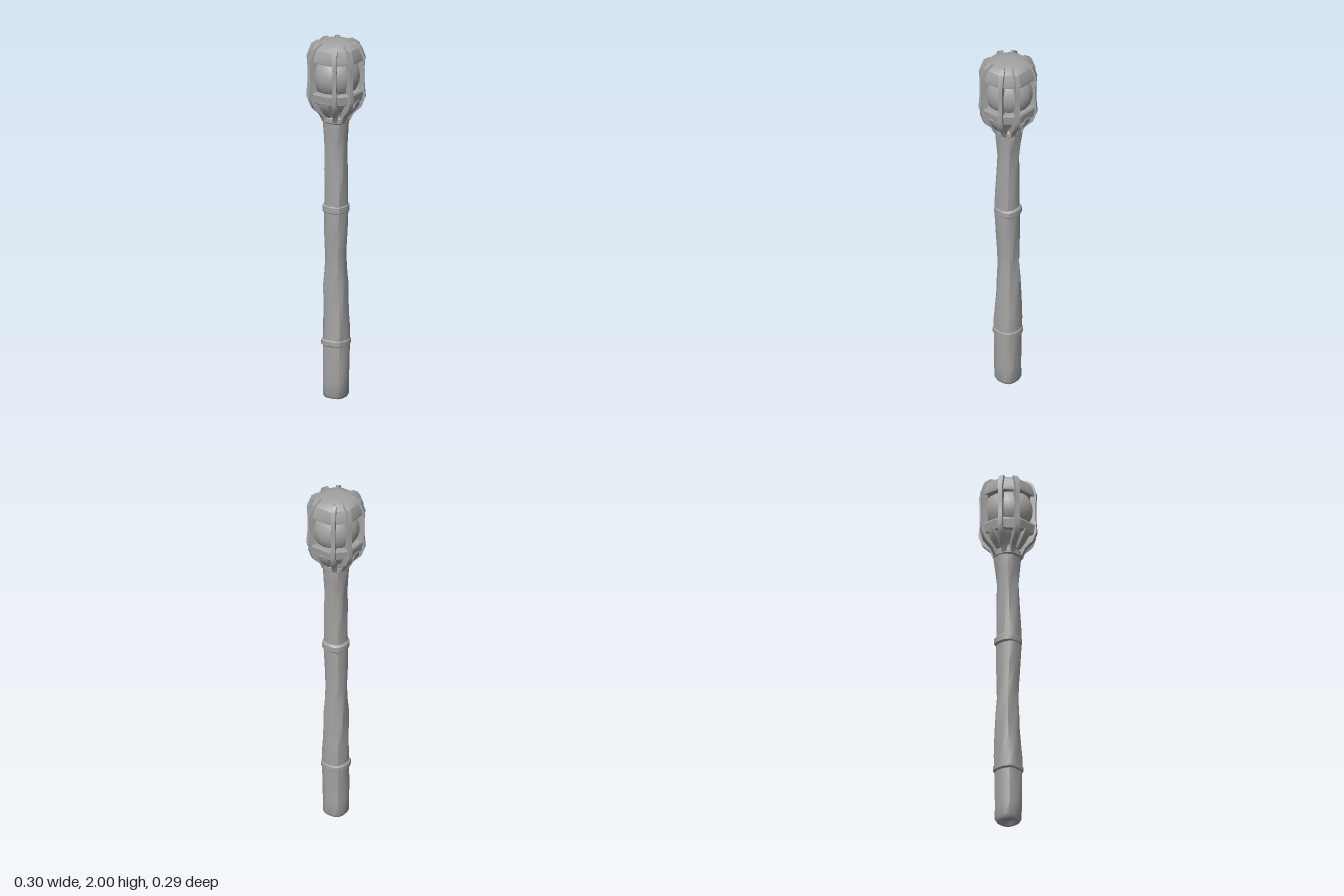
import * as THREE from 'three';
import { toCreasedNormals } from 'three/addons/utils/BufferGeometryUtils.js';

// Skin a list of equal-length point rings, closing both ends
function loft(rings, crease = 0.6) {
  const n = rings[0].length, last = rings.length - 1, pos = [], idx = [];
  for (const ring of rings) for (const p of ring) pos.push(...p);
  for (let i = 0; i < last; i++) for (let j = 0; j < n; j++) {
    const a = i * n + j, b = i * n + (j + 1) % n;
    idx.push(a, a + n, b, b, a + n, b + n);
  }
  for (const [row, up] of [[0, false], [last, true]]) {
    const c = pos.length / 3;
    for (let k = 0; k < 3; k++) pos.push(rings[row].reduce((s, p) => s + p[k], 0) / n);
    for (let j = 0; j < n; j++) {
      const a = row * n + j, b = row * n + (j + 1) % n;
      idx.push(c, up ? b : a, up ? a : b);
    }
  }
  const g = new THREE.BufferGeometry();
  g.setAttribute('position', new THREE.Float32BufferAttribute(pos, 3));
  g.setIndex(idx);
  return toCreasedNormals(g, crease);
}

// Rounded-square ring; w is the half-width, p the squareness, rough adds carved unevenness
function ring(y, w, { sides = 16, p = 2.9, rough = 0, cx = 0, cz = 0, turn = 0 } = {}) {
  return Array.from({ length: sides }, (_, j) => {
    const a = (j / sides) * Math.PI * 2 + turn;
    const c = Math.cos(a), s = Math.sin(a);
    const wave = Math.sin(j * 2.4 + y * 9) + Math.sin(j * 4.1 - y * 17);
    const r = w / (Math.abs(c) ** p + Math.abs(s) ** p) ** (1 / p) + rough * wave;
    return [cx + r * c, y, cz + r * s];
  });
}

// Octagonal ring with flats facing the four axes; w is the distance to a flat
const octagon = (y, w) => ring(y, w / Math.cos(Math.PI / 8), { sides: 8, p: 2, turn: Math.PI / 8 });

// Rectangular bar swept along a [radius, y, width, depth] path at one angle
function bar(path, angle) {
  const c = Math.cos(angle), s = Math.sin(angle);
  return loft(path.map(([r, y, w, d], i) => {
    const a = path[Math.max(i - 1, 0)], b = path[Math.min(i + 1, path.length - 1)];
    const dr = b[0] - a[0], dy = b[1] - a[1], len = Math.hypot(dr, dy);
    return [[1, -0.8], [1, 0.8], [-1, 1], [-1, -1]].map(([u, v]) => {
      const rr = r + (u * d * dy) / len / 2, yy = y - (u * d * dr) / len / 2, t = (v * w) / 2;
      return [rr * c - t * s, yy, rr * s + t * c];
    });
  }), 0.5);
}

export function createModel() {
  const model = new THREE.Group();
  const grey = new THREE.MeshStandardMaterial({ color: 0xa3a3a3 });
  grey.name = 'grey';
  const add = (name, geometry, parent = model) => {
    const mesh = new THREE.Mesh(geometry, grey);
    mesh.name = name;
    parent.add(mesh);
    return mesh;
  };

  // Carved shaft, with a shallow hollow in its foot
  const shaft = [
    [0.02, 0.034], [0, 0.046], [0, 0.056], [0.015, 0.064], [0.1, 0.065], [0.2, 0.066],
    [0.29, 0.066], [0.38, 0.067], [0.45, 0.064], [0.55, 0.061], [0.64, 0.059], [0.72, 0.053],
    [0.8, 0.053], [0.92, 0.058], [1.03, 0.06], [1.15, 0.058], [1.28, 0.057], [1.4, 0.054],
    [1.47, 0.059], [1.54, 0.065], [1.6, 0.066],
  ];
  add('shaft', loft(shaft.map(([y, w]) => ring(y, w, {
    rough: y > 0.05 ? 0.0016 : 0,
    cx: y > 0.05 ? 0.003 * Math.sin(y * 7) : 0,
    cz: y > 0.05 ? 0.003 * Math.cos(y * 6) : 0,
  }))));

  // Raised collars around the shaft
  for (const [y, w, h] of [[0.31, 0.073, 0.02], [1.06, 0.067, 0.025], [1.565, 0.073, 0.02]]) {
    add('collar', loft([[-1, -0.01], [-0.6, 0], [0.6, 0], [1, -0.01]]
      .map(([u, d]) => ring(y + u * h, w + d, { rough: 0.001 }))));
  }

  // Lantern head: cup, globe, lower band and bevelled cap
  const head = new THREE.Group();
  head.name = 'head';
  model.add(head);
  add('cup', loft([[1.56, 0.055], [1.6, 0.07], [1.635, 0.095], [1.67, 0.12], [1.7, 0.125]]
    .map(([y, w]) => octagon(y, w))), head);
  const globe = add('globe', new THREE.SphereGeometry(1, 20, 14), head);
  globe.position.y = 1.81;
  globe.scale.set(0.13, 0.14, 0.142);
  add('lowerBand', loft([[1.665, 0.12], [1.672, 0.133], [1.72, 0.14], [1.73, 0.136], [1.73, 0.115]]
    .map(([y, w]) => octagon(y, w)), 0.4), head);
  add('cap', loft([[1.895, 0.11], [1.895, 0.135], [1.91, 0.137], [1.965, 0.118], [1.98, 0.1], [1.994, 0.075], [1.998, 0.04]]
    .map(([y, w]) => octagon(y, w)), 0.5), head);

  // Eight ribs caging the globe, in a pair at each corner
  const rib = [
    [0.068, 1.56, 0.03, 0.02], [0.085, 1.605, 0.035, 0.03], [0.125, 1.645, 0.036, 0.034],
    [0.142, 1.69, 0.032, 0.034], [0.137, 1.76, 0.026, 0.032], [0.136, 1.84, 0.024, 0.032],
    [0.14, 1.91, 0.03, 0.034], [0.122, 1.965, 0.032, 0.03], [0.1, 1.984, 0.026, 0.022],
    [0.08, 1.99, 0.014, 0.012],
  ];
  for (let q = 0; q < 4; q++) for (const deg of [25, 61]) {
    add('rib', bar(rib, q < 2 ? THREE.MathUtils.degToRad(q * 180 + deg)
      : -THREE.MathUtils.degToRad((q - 2) * 180 + deg)), head);
  }

  // Short prongs below the band on each face
  const prong = [[0.07, 1.59, 0.03, 0.02], [0.098, 1.625, 0.045, 0.024], [0.122, 1.66, 0.055, 0.026], [0.13, 1.685, 0.04, 0.02]];
  for (let k = 0; k < 4; k++) add('prong', bar(prong, (k * Math.PI) / 2), head);

  return model;
}
